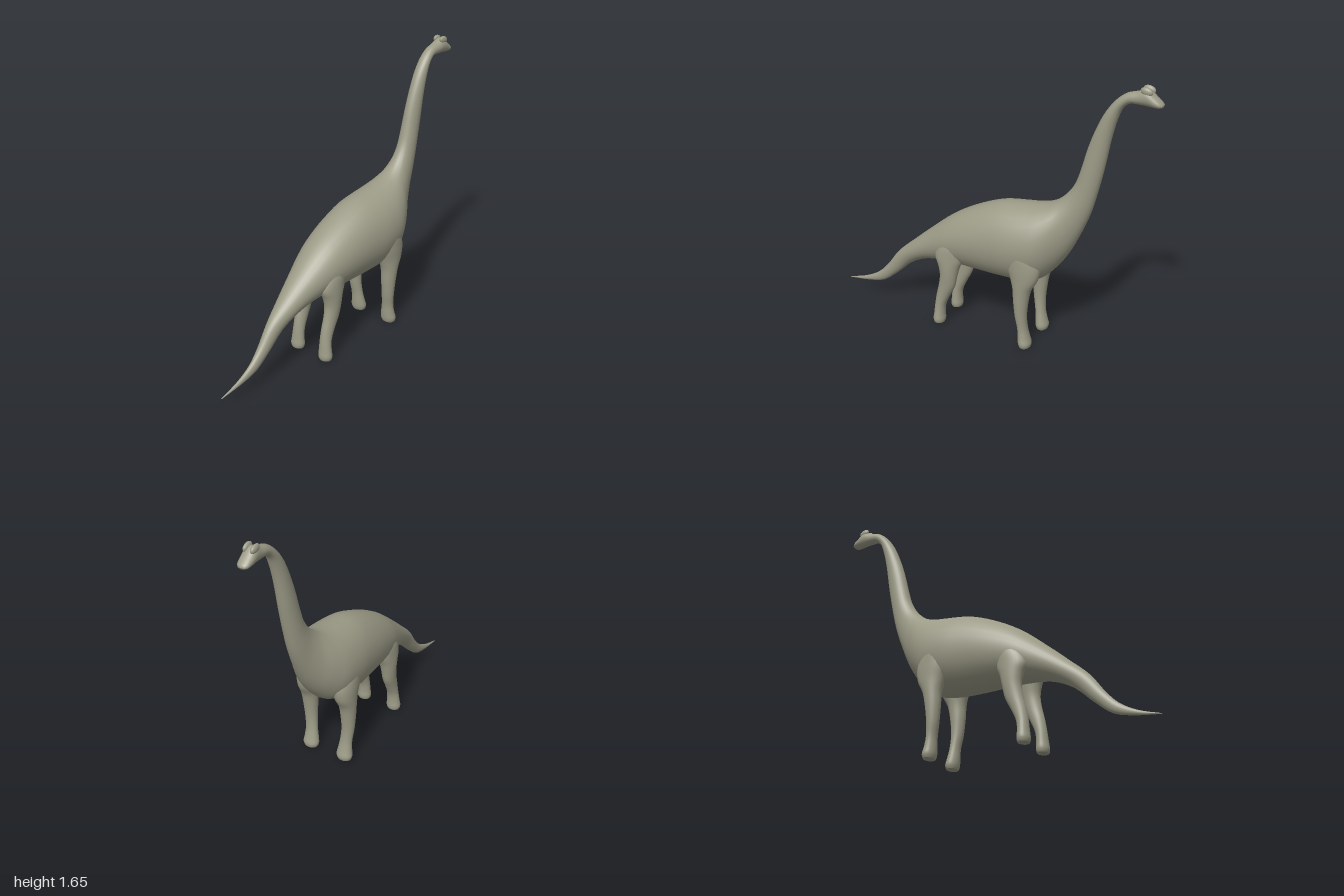
import * as THREE from 'three';

const SIDES = 28;
const material = new THREE.MeshStandardMaterial({ color: 0x9c9b87, roughness: 0.9 });

// Skin a list of closed rings of points into one smooth surface.
function skin(rings, name) {
  const pos = [], index = [];
  const n = rings[0].length;
  rings.forEach(ring => ring.forEach(p => pos.push(p.x, p.y, p.z)));
  for (let i = 0; i < rings.length - 1; i++) {
    for (let j = 0; j < n; j++) {
      const k = (j + 1) % n;
      const a = i * n + j, b = a + n, c = (i + 1) * n + k, d = i * n + k;
      index.push(a, d, b, d, c, b);
    }
  }
  const geo = new THREE.BufferGeometry();
  geo.setAttribute('position', new THREE.Float32BufferAttribute(pos, 3));
  geo.setIndex(index);
  geo.computeVertexNormals();
  const mesh = new THREE.Mesh(geo, material);
  mesh.name = name;
  return mesh;
}

const angles = Array.from({ length: SIDES }, (_, j) => (j / SIDES) * Math.PI * 2);

// Oval ring standing between an upper and a lower point of the outline.
function bodyRing(top, bottom, halfWidth) {
  const mid = top.clone().add(bottom).multiplyScalar(0.5);
  const up = top.clone().sub(bottom).multiplyScalar(0.5);
  return angles.map(a => new THREE.Vector3(
    mid.x + up.x * Math.cos(a), mid.y + up.y * Math.cos(a), halfWidth * Math.sin(a)));
}

// Tail, trunk, neck and head: [topX, topY, bottomX, bottomY, halfWidth]
const BODY = [
  [-1.00, 0.062, -1.00, 0.058, 0.003],
  [-0.88, 0.10, -0.86, 0.076, 0.012],
  [-0.78, 0.155, -0.74, 0.108, 0.021],
  [-0.71, 0.225, -0.64, 0.185, 0.031],
  [-0.62, 0.345, -0.53, 0.285, 0.046],
  [-0.50, 0.455, -0.42, 0.345, 0.075],
  [-0.38, 0.56, -0.32, 0.37, 0.105],
  [-0.22, 0.69, -0.20, 0.38, 0.145],
  [-0.05, 0.785, -0.05, 0.38, 0.172],
  [0.10, 0.842, 0.10, 0.378, 0.187],
  [0.22, 0.86, 0.22, 0.385, 0.195],
  [0.32, 0.875, 0.36, 0.42, 0.185],
  [0.40, 0.90, 0.44, 0.50, 0.150],
  [0.46, 0.94, 0.51, 0.60, 0.105],
  [0.51, 0.995, 0.57, 0.72, 0.074],
  [0.545, 1.06, 0.63, 0.87, 0.058],
  [0.57, 1.14, 0.665, 1.00, 0.052],
  [0.605, 1.27, 0.70, 1.16, 0.047],
  [0.645, 1.38, 0.73, 1.33, 0.043],
  [0.69, 1.475, 0.757, 1.44, 0.040],
  [0.745, 1.55, 0.785, 1.51, 0.036],
  [0.80, 1.595, 0.82, 1.54, 0.033],
  [0.86, 1.615, 0.87, 1.544, 0.036],
  [0.91, 1.635, 0.92, 1.542, 0.040],
  [0.955, 1.603, 0.955, 1.540, 0.038],
  [0.985, 1.578, 0.98, 1.541, 0.032],
  [0.998, 1.565, 0.995, 1.546, 0.020],
];

function makeBody() {
  // The half width rides along as the z of the upper outline.
  const upper = new THREE.CatmullRomCurve3(BODY.map(s => new THREE.Vector3(s[0], s[1], s[4])));
  const lower = new THREE.CatmullRomCurve3(BODY.map(s => new THREE.Vector3(s[2], s[3], 0)));
  const rings = [];
  const steps = (BODY.length - 1) * 4;
  for (let i = 0; i <= steps; i++) {
    const top = upper.getPoint(i / steps), bottom = lower.getPoint(i / steps);
    rings.push(bodyRing(top, bottom, Math.max(top.z, 0.002)));
  }
  // Close the tail tip and the snout.
  const tail = new THREE.Vector3(-1, 0.06, 0), nose = new THREE.Vector3(1, 0.556, 0).setY(1.556);
  rings.unshift(bodyRing(tail, tail, 0));
  rings.push(bodyRing(nose, nose, 0));
  return skin(rings, 'body');
}

// Legs from the sole up: [y, centreX, radiusX, centreZ, radiusZ]
const FRONT_LEG = [
  [0.008, 0.305, 0.035, 0.117, 0.046],
  [0.025, 0.304, 0.038, 0.117, 0.050],
  [0.06, 0.298, 0.035, 0.117, 0.045],
  [0.12, 0.290, 0.030, 0.120, 0.038],
  [0.20, 0.281, 0.035, 0.127, 0.039],
  [0.30, 0.281, 0.045, 0.130, 0.045],
  [0.38, 0.287, 0.056, 0.130, 0.051],
  [0.45, 0.295, 0.084, 0.125, 0.060],
  [0.53, 0.285, 0.105, 0.118, 0.071],
  [0.62, 0.270, 0.090, 0.105, 0.080],
  [0.70, 0.260, 0.050, 0.085, 0.060],
];
const HIND_LEG = [
  [0.008, -0.275, 0.034, 0.107, 0.042],
  [0.025, -0.275, 0.036, 0.107, 0.045],
  [0.06, -0.274, 0.033, 0.106, 0.041],
  [0.12, -0.268, 0.033, 0.104, 0.036],
  [0.19, -0.247, 0.043, 0.104, 0.036],
  [0.26, -0.221, 0.052, 0.106, 0.039],
  [0.33, -0.208, 0.055, 0.107, 0.044],
  [0.39, -0.206, 0.068, 0.104, 0.050],
  [0.45, -0.205, 0.092, 0.098, 0.055],
  [0.52, -0.190, 0.085, 0.088, 0.060],
  [0.59, -0.175, 0.050, 0.075, 0.050],
];

function makeLeg(sections, side, name) {
  const centre = new THREE.CatmullRomCurve3(sections.map(s => new THREE.Vector3(s[1], s[0], s[3])));
  const radius = new THREE.CatmullRomCurve3(sections.map(s => new THREE.Vector3(s[2], s[0], s[4])));
  const ring = (c, rx, rz) => angles.map(a => new THREE.Vector3(
    c.x + rx * Math.sin(a), c.y, side * c.z + rz * Math.cos(a)));
  const rings = [];
  const steps = (sections.length - 1) * 4;
  for (let i = 0; i <= steps; i++) {
    const c = centre.getPoint(i / steps), r = radius.getPoint(i / steps);
    rings.push(ring(c, r.x, r.z));
  }
  // Flat sole with a crisp edge, and a closed top inside the trunk.
  const first = sections[0], last = sections[sections.length - 1];
  const sole = new THREE.Vector3(first[1], 0, first[3]);
  rings.unshift(ring(sole, 0, 0), ring(sole, first[2] * 0.9, first[4] * 0.9),
    ring(sole, first[2] * 0.9, first[4] * 0.9));
  rings.push(ring(new THREE.Vector3(last[1], last[0] + 0.02, last[3]), 0, 0));
  return skin(rings, name);
}

export function createModel() {
  const model = new THREE.Group();
  model.name = 'longNeckedDinosaur';
  model.add(makeBody());
  for (const side of [1, -1]) {
    const label = side > 0 ? 'Near' : 'Far';
    model.add(makeLeg(FRONT_LEG, side, 'frontLeg' + label));
    model.add(makeLeg(HIND_LEG, side, 'hindLeg' + label));

    // Paired crest bumps on top of the head
    const crest = new THREE.Mesh(new THREE.SphereGeometry(1, 16, 12), material);
    crest.name = 'headCrest' + label;
    crest.scale.set(0.034, 0.022, 0.015);
    crest.position.set(0.912, 1.624, side * 0.022);
    crest.rotation.z = -0.25;
    model.add(crest);
  }
  return model;
}
